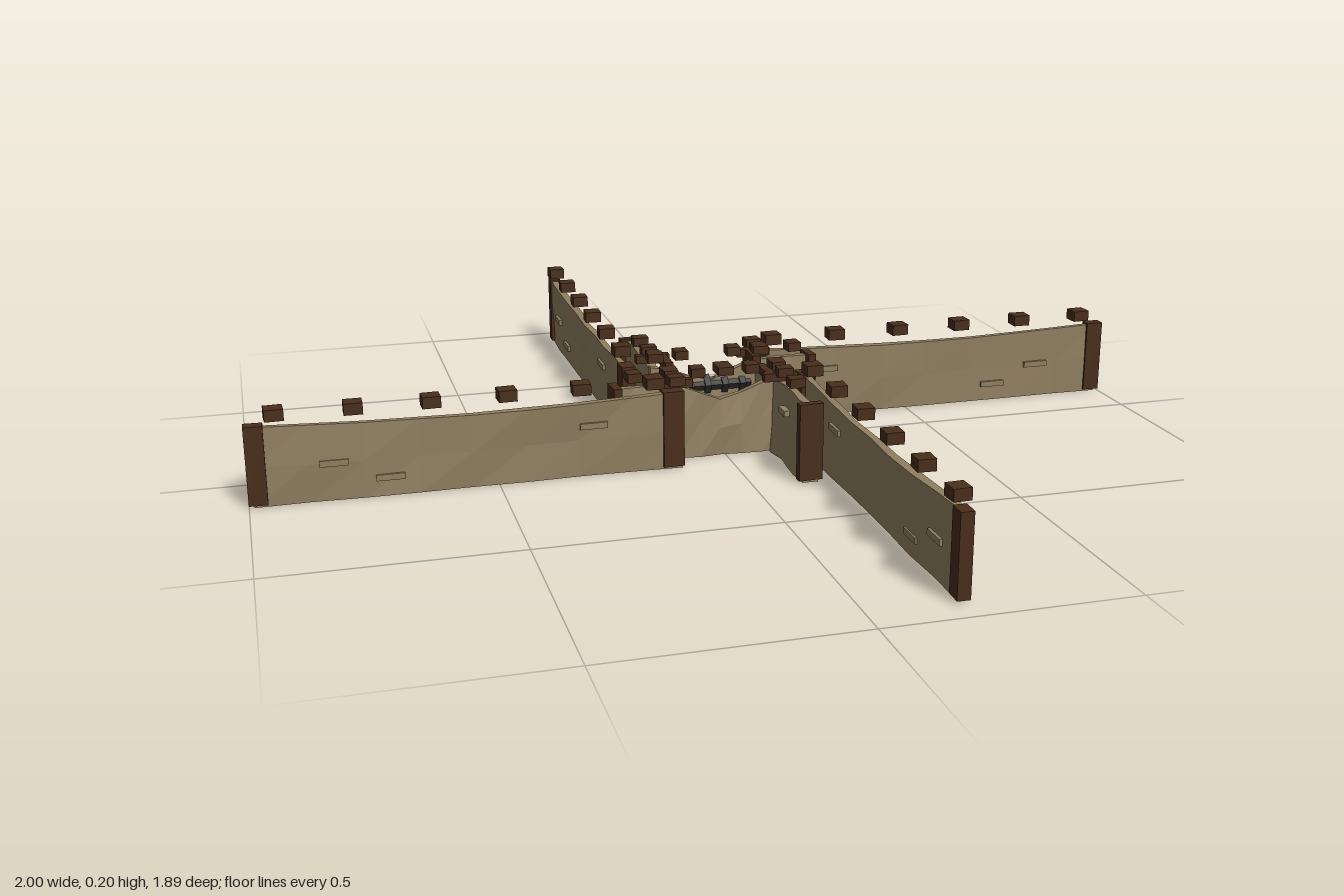
import * as THREE from 'three';

const mat = (name, color) => {
  const m = new THREE.MeshStandardMaterial({ color, flatShading: true });
  m.name = name;
  return m;
};

// small repeatable noise in -1..1
const noise = (i) => {
  const s = Math.sin(i * 12.9898) * 43758.5453;
  return (s - Math.floor(s)) * 2 - 1;
};

export function createModel() {
  const model = new THREE.Group();
  const clay = mat('clay', 0x918061);
  const wood = mat('darkWood', 0x482d1b);
  const iron = mat('darkGrey', 0x363532);

  const box = (parent, name, material, size, pos, skew = 0) => {
    const mesh = new THREE.Mesh(new THREE.BoxGeometry(...size), material);
    mesh.name = name;
    mesh.position.set(...pos);
    mesh.rotation.y = skew;
    parent.add(mesh);
    return mesh;
  };

  // uneven plastered wall along local x, with a shaped top edge and thickness
  const wallBody = (parent, name, x0, x1, top, half, seed) => {
    const n = 8;
    const geo = new THREE.BoxGeometry(1, 1, 1, n, 2, 1);
    const p = geo.attributes.position;
    for (let i = 0; i < p.count; i++) {
      const t = p.getX(i) + 0.5, v = p.getY(i) + 0.5, side = Math.sign(p.getZ(i));
      const k = Math.round(t * n) * 7 + Math.round(v * 2) * 3 + side + seed;
      const x = x0 + (x1 - x0) * t;
      const h = half(v) * (1 + 0.4 * noise(k));
      p.setXYZ(i, x, 0.005 + v * (top(x, t) - 0.005), side * h);
    }
    geo.computeVertexNormals();
    const mesh = new THREE.Mesh(geo, clay);
    mesh.name = name;
    parent.add(mesh);
  };

  // long outer wall with end posts, floating battlement blocks and shallow bricks
  const outerWall = (start, end, z, firstBlock, seed) => {
    const g = new THREE.Group();
    g.name = 'outerWall';
    g.position.z = z;
    wallBody(g, 'wallFace', start, end - 0.01, (x, t) => 0.172 - 0.012 * Math.sin(Math.PI * t),
      () => 0.008, seed);
    box(g, 'innerPost', wood, [0.045, 0.165, 0.03], [start + 0.02, 0.0925, 0], 0.04);
    box(g, 'endPost', wood, [0.038, 0.165, 0.026], [end - 0.019, 0.0925, 0], -0.04);
    for (let i = 0; i < 6; i++) {
      box(g, 'battlement', wood, [0.038, 0.024, 0.036], [firstBlock + i * 0.154, 0.196, 0], noise(seed + i) * 0.06);
    }
    for (const [x, y] of [[0.3, 0.115], [0.72, 0.045], [0.83, 0.085]]) {
      box(g, 'brick', clay, [0.058, 0.013, 0.026], [x, y, 0]);
    }
    return g;
  };

  // short gatehouse wall, dipped over the middle, with a broad end post
  const innerWall = (start, end, z, dip, seed) => {
    const g = new THREE.Group();
    g.name = 'gatehouseWall';
    g.position.z = z;
    wallBody(g, 'wallFace', start, end,
      (x) => 0.17 - dip * Math.max(0, 1 - Math.abs(x) / 0.11),
      (v) => 0.018 - 0.01 * v, seed);
    box(g, 'endPost', wood, [0.018, 0.165, 0.052], [end - 0.006, 0.0925, 0], 0.06);
    for (const x of [-0.12, -0.06, 0.06, 0.12, 0.2]) {
      box(g, 'smallBattlement', wood, [0.03, 0.02, 0.034], [x, 0.193, 0], noise(seed + x * 50) * 0.1);
    }
    // crossing beams near the corners
    for (const x of [-0.095, 0.105]) {
      box(g, 'beam', wood, [0.018, 0.018, 0.075], [x, 0.178, 0.005]);
    }
    box(g, 'brick', clay, [0.04, 0.013, 0.044], [0.17, 0.12, 0]);
    return g;
  };

  // pinwheel layout: two wall pairs, repeated by half a turn
  for (let turn = 0; turn < 2; turn++) {
    const half = new THREE.Group();
    half.name = turn ? 'secondHalf' : 'firstHalf';
    half.rotation.y = turn * Math.PI;

    half.add(outerWall(0.11, 1.0, -0.13, 0.17, 11));
    half.add(innerWall(-0.13, 0.245, -0.07, 0.045, 29));

    const side = new THREE.Group();
    side.name = 'sideWalls';
    side.rotation.y = Math.PI / 2;
    side.add(outerWall(0.06, 0.945, -0.18, 0.13, 47));
    side.add(innerWall(-0.1, 0.3, -0.12, 0.03, 61));
    half.add(side);
    model.add(half);
  }

  // dark gate leaning on the rear gatehouse wall
  const gate = box(model, 'gate', iron, [0.2, 0.09, 0.025], [0, 0.09, -0.088]);
  gate.rotation.x = 0.6;
  for (let i = 0; i < 5; i++) {
    const bar = box(model, 'gateBar', iron, [0.014, 0.1, 0.034], [-0.08 + i * 0.04, 0.09, -0.088]);
    bar.rotation.x = 0.6;
  }
  // plank across the front opening
  box(model, 'frontPlank', wood, [0.034, 0.018, 0.05], [0, 0.193, 0.065]);

  return model;
}
